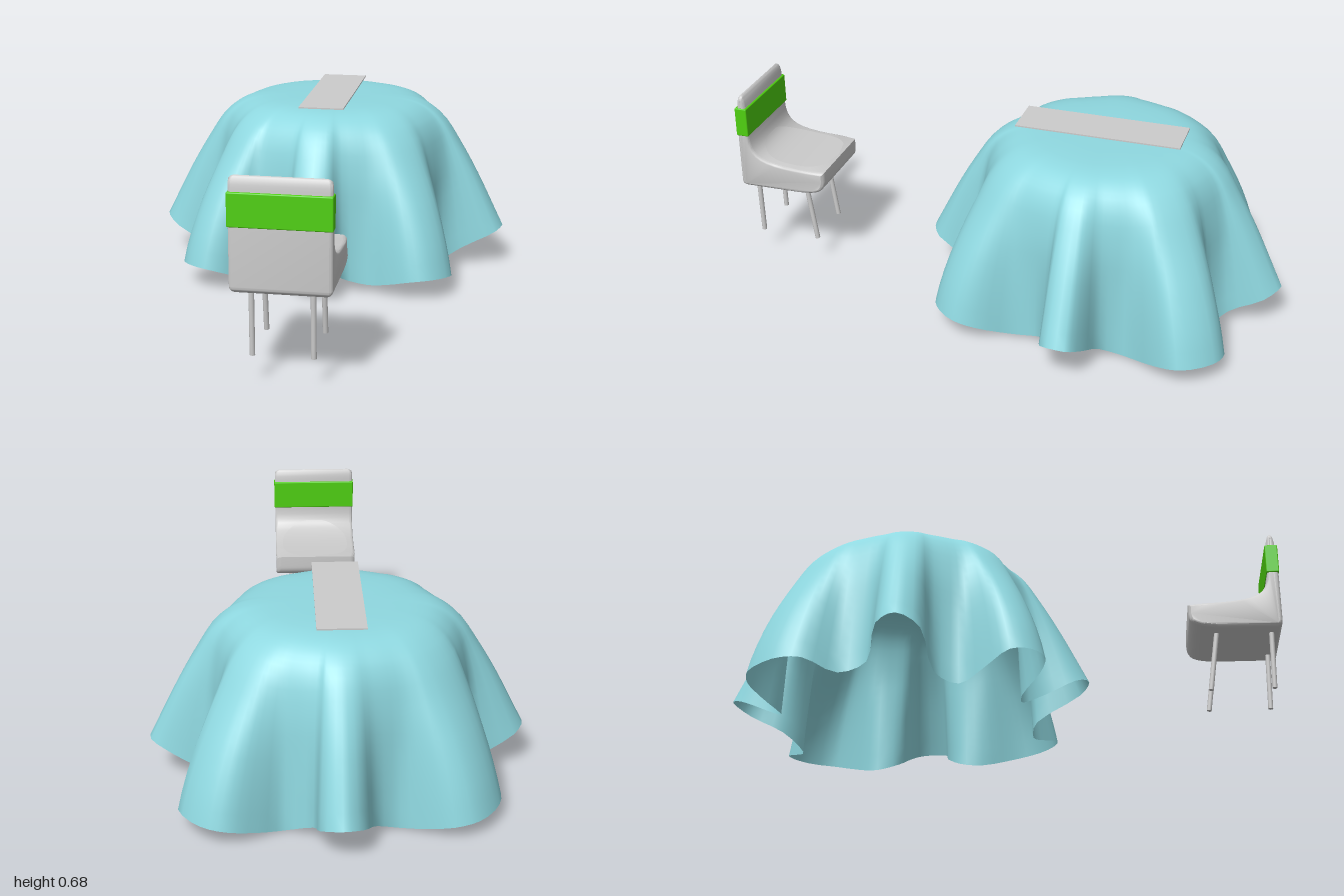
import * as THREE from 'three';
import { toCreasedNormals } from 'three/addons/utils/BufferGeometryUtils.js';
import { RoundedBoxGeometry } from 'three/addons/geometries/RoundedBoxGeometry.js';

const grey = new THREE.MeshStandardMaterial({ color: 0xcccccc });
const green = new THREE.MeshStandardMaterial({ color: 0x4fd010 });
const teal = new THREE.MeshStandardMaterial({ color: 0x8fd8e0, side: THREE.DoubleSide });

function add(parent, name, geometry, material) {
  const mesh = new THREE.Mesh(geometry, material);
  mesh.name = name;
  parent.add(mesh);
  return mesh;
}

// Cloth: a round top blended ring by ring into a wavy hem
function clothGeometry() {
  const cz = -0.345, top = 0.655;
  // Plan outline of the hem as x, z pairs, from the +x fold round through +z
  const hem = [
    [0.65, -0.38], [0.63, -0.29], [0.5, -0.265], [0.42, -0.21], [0.42, -0.12], [0.48, -0.01], [0.49, 0.07],
    [0.43, 0.15], [0.36, 0.17], [0.27, 0.13], [0.19, 0.09], [0.1, 0.11], [0.07, 0.27],
    [0, 0.305], [-0.08, 0.26], [-0.1, 0.15], [-0.15, 0.08], [-0.24, 0.08], [-0.33, 0.15],
    [-0.4, 0.17], [-0.47, 0.13], [-0.5, 0.06], [-0.45, -0.03], [-0.4, -0.12], [-0.44, -0.2], [-0.6, -0.225],
    [-0.655, -0.3], [-0.62, -0.37], [-0.48, -0.42], [-0.46, -0.52], [-0.53, -0.63], [-0.52, -0.73],
    [-0.44, -0.83], [-0.36, -0.85], [-0.29, -0.82], [-0.19, -0.77], [-0.11, -0.81], [-0.06, -0.95],
    [0.01, -1], [0.08, -0.95], [0.1, -0.83], [0.19, -0.77], [0.28, -0.82],
    [0.38, -0.87], [0.46, -0.85], [0.54, -0.74], [0.5, -0.65], [0.42, -0.53], [0.45, -0.45], [0.57, -0.42],
  ];
  const outline = new THREE.CatmullRomCurve3(hem.map(([x, z]) => new THREE.Vector3(x, 0, z)), true);
  // Each section: drop fraction, round radius, share of the hem shape
  const sections = new THREE.CatmullRomCurve3([
    [0, 0, 0], [0.008, 0.25, 0], [0.04, 0.33, 0.01], [0.13, 0.39, 0.06],
    [0.35, 0.428, 0.25], [0.6, 0.435, 0.55], [1, 0.435, 1],
  ].map((p) => new THREE.Vector3(...p)));

  const cols = hem.length * 3, rows = 24;
  const positions = [], index = [];
  for (let j = 0; j <= rows; j++) {
    const s = sections.getPoint(j / rows);
    for (let i = 0; i < cols; i++) {
      const p = outline.getPoint(i / cols);
      const dz = p.z - cz, a = Math.atan2(dz, p.x), r = Math.hypot(p.x, dz);
      const wave = Math.cos(4 * a);
      // The hem lifts at the tips of the folds and dips between them
      const hemY = Math.max(0, 0.044 + 0.04 * wave + 0.48 * (r - 0.5) + 0.025 * dz);
      // Corner folds bulge a little below mid-height
      const share = s.z + 0.6 * Math.max(0, -wave) * s.x * s.x * (1 - s.x);
      const radius = s.y * (1 - share) + r * share;
      positions.push(radius * Math.cos(a), top + (hemY - top) * s.x, cz + radius * Math.sin(a));
      if (j < rows) {
        const k = j * cols + i, n = j * cols + (i + 1) % cols;
        index.push(k, n, k + cols, n, n + cols, k + cols);
      }
    }
  }
  const g = new THREE.BufferGeometry();
  g.setAttribute('position', new THREE.Float32BufferAttribute(positions, 3));
  g.setIndex(index);
  g.computeVertexNormals();
  return g;
}

// Seat curve (z, y) from the front edge up into the backrest
const seatCurve = new THREE.CubicBezierCurve(
  new THREE.Vector2(0.667, 0.418), new THREE.Vector2(0.93, 0.418),
  new THREE.Vector2(0.957, 0.44), new THREE.Vector2(0.957, 0.55),
);

// Chair shell: L-shaped side profile (z, y) extruded across the width
function shellGeometry(width) {
  const s = new THREE.Shape();
  s.moveTo(0.667, 0.418);
  s.curves.push(seatCurve);
  s.currentPoint.copy(seatCurve.v3);
  s.lineTo(0.961, 0.65);
  s.bezierCurveTo(0.967, 0.703, 0.985, 0.703, 0.991, 0.65);
  s.lineTo(0.998, 0.52);
  s.lineTo(0.998, 0.34);
  s.quadraticCurveTo(0.998, 0.32, 0.978, 0.318);
  s.lineTo(0.77, 0.322);
  s.bezierCurveTo(0.7, 0.33, 0.667, 0.34, 0.667, 0.38);
  s.closePath();
  const bevel = 0.01;
  const g = new THREE.ExtrudeGeometry(s, {
    depth: width - 2 * bevel, bevelThickness: bevel, bevelSize: bevel, bevelOffset: -bevel,
    bevelSegments: 3, curveSegments: 12,
  });
  g.translate(0, 0, bevel - width / 2);
  g.rotateY(-Math.PI / 2);
  // Round the corners at the seat front, the base and the top of the back
  const p = g.attributes.position;
  for (let i = 0; i < p.count; i++) {
    const edge = Math.max(0, 0.69 - p.getZ(i), 0.34 - p.getY(i), p.getY(i) - 0.67) / 0.025;
    p.setX(i, p.getX(i) * (1 - 0.09 * Math.min(1, edge) ** 2));
  }
  return toCreasedNormals(g, 0.6);
}

// Rounded-square pad lying on the seat curve
function padGeometry() {
  const g = new THREE.PlaneGeometry(2, 1, 8, 32);
  const p = g.attributes.position;
  for (let i = 0; i < p.count; i++) {
    const c = seatCurve.getPoint(0.01 + 0.69 * (0.5 - p.getY(i)));
    const d = Math.min(1, Math.abs(c.x - 0.81) / 0.135);
    const half = 0.132 * (1 - d ** 2.8) ** (1 / 2.8);
    p.setXYZ(i, p.getX(i) * half, c.y + 0.004, c.x - 0.002);
  }
  g.computeVertexNormals();
  return g;
}

function legGeometry(x, topZ, footZ) {
  const path = new THREE.LineCurve3(new THREE.Vector3(x, 0.335, topZ), new THREE.Vector3(x, 0.105, footZ));
  const g = new THREE.CylinderGeometry(0.009, 0.009, path.getLength(), 12);
  g.rotateX(-Math.atan2(footZ - topZ, 0.23));
  const mid = path.getPoint(0.5);
  return g.translate(mid.x, mid.y, mid.z);
}

export function createModel() {
  const model = new THREE.Group();

  // Draped table with a runner on top
  add(model, 'tablecloth', clothGeometry(), teal);
  add(model, 'tableRunner', new THREE.BoxGeometry(0.165, 0.005, 0.59), grey).position.set(-0.002, 0.664, -0.325);

  // Chair, with its back to the front
  const chair = new THREE.Group();
  chair.name = 'chair';
  chair.position.x = 0.046;
  model.add(chair);
  add(chair, 'chairShell', shellGeometry(0.322), grey);
  add(chair, 'seatPad', padGeometry(), grey);
  add(chair, 'backBand', new RoundedBoxGeometry(0.328, 0.11, 0.046, 2, 0.004), green).position.set(0, 0.585, 0.977);
  for (const side of [-1, 1]) {
    add(chair, 'backLeg', legGeometry(side * 0.097, 0.962, 0.957), grey);
    add(chair, 'frontLeg', legGeometry(side * 0.097, 0.768, 0.735), grey);
  }
  return model;
}
